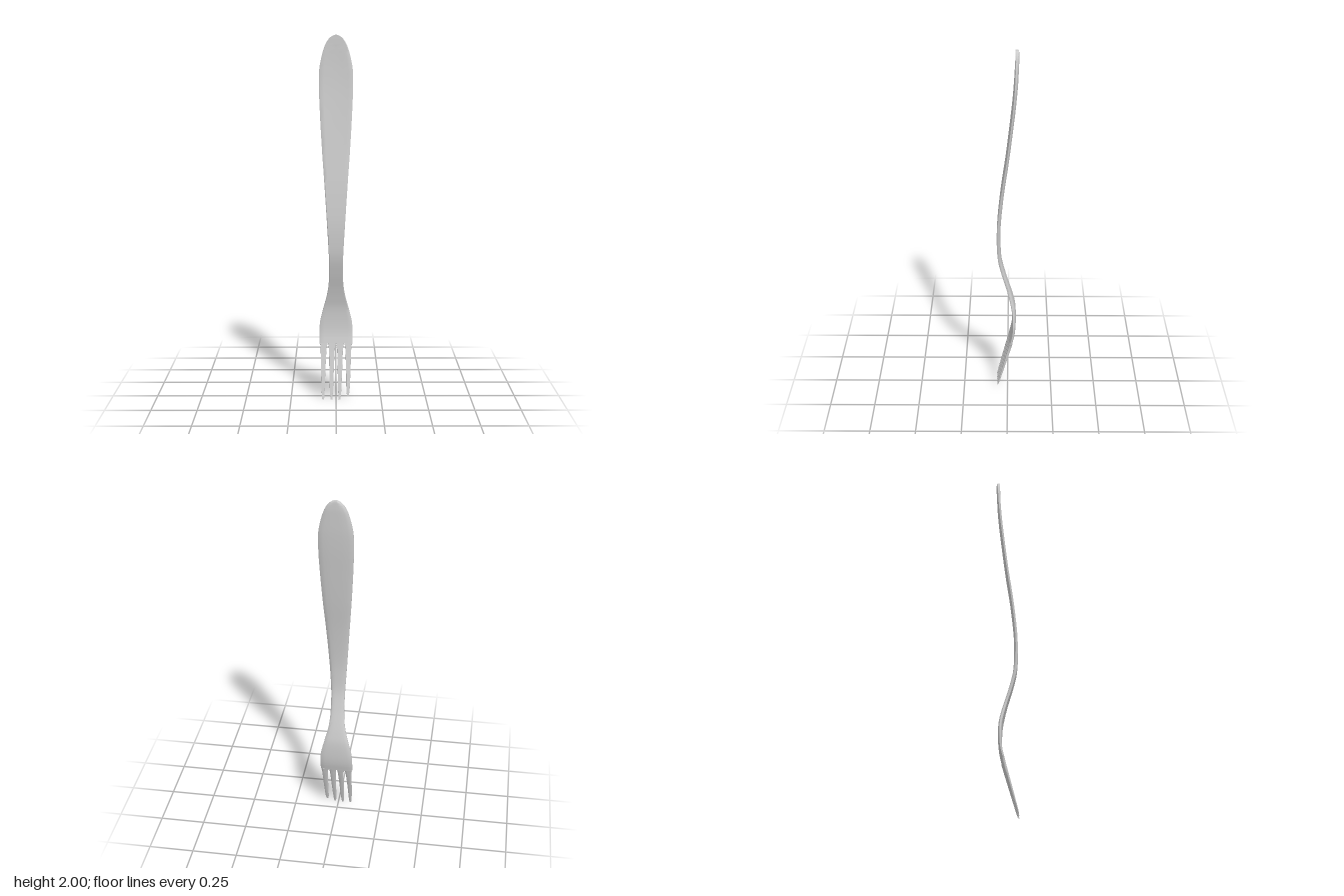
import * as THREE from 'three';
import { toCreasedNormals } from 'three/addons/utils/BufferGeometryUtils.js';

// Half section (x as share of half width, z as share of thickness), counterclockwise from above:
// flat front, bevelled back edges
const SECTION = [
  [-1, 0.3], [-0.93, 0.5], [-0.72, 0.5], [-0.4, 0.5], [0, 0.5], [0.4, 0.5], [0.72, 0.5], [0.93, 0.5], [1, 0.3],
  [1, -0.05], [0.9, -0.3], [0.7, -0.44], [0.35, -0.5], [0, -0.5], [-0.35, -0.5], [-0.7, -0.44], [-0.9, -0.3], [-1, -0.05],
];

// Skin over rows {x, y, z, w, t} ordered upwards, closed at both ends
function loft(rows, dish = () => 0) {
  const n = SECTION.length, pos = [], idx = [];
  for (const r of rows) {
    for (const [u, v] of SECTION) {
      const sunk = v === 0.5 ? dish(u, r.y) : 0;
      pos.push(r.x + u * r.w, r.y, r.z + v * r.t - sunk);
    }
  }
  for (let i = 0; i < rows.length - 1; i++) {
    for (let j = 0; j < n; j++) {
      const k = (j + 1) % n;
      const a = i * n + j, b = i * n + k, c = b + n, d = a + n;
      idx.push(a, b, c, a, c, d);
    }
  }
  const top = (rows.length - 1) * n;
  for (let j = 1; j < n - 1; j++) {
    idx.push(0, j + 1, j, top, top + j, top + j + 1);
  }
  const g = new THREE.BufferGeometry();
  g.setAttribute('position', new THREE.Float32BufferAttribute(pos, 3));
  g.setIndex(idx);
  return toCreasedNormals(g, 0.7);
}

// Smooth rows through [y, half width, z, thickness] stations
function rowsThrough(stations, count, x = () => 0) {
  const shape = new THREE.CatmullRomCurve3(stations.map(([y, w, z]) => new THREE.Vector3(w, y, z)));
  const rows = [];
  for (let i = 0; i <= count; i++) {
    const f = i / count, p = shape.getPoint(f);
    const s = f * (stations.length - 1), k = Math.min(Math.floor(s), stations.length - 2);
    const t = THREE.MathUtils.lerp(stations[k][3], stations[k + 1][3], s - k);
    rows.push({ x: x(p.y), y: p.y, z: p.z, w: p.x, t });
  }
  return rows;
}

export function createModel() {
  const group = new THREE.Group();
  const metal = new THREE.MeshStandardMaterial({ color: 0xcccccc });
  const add = (name, geometry) => {
    const mesh = new THREE.Mesh(geometry, metal);
    mesh.name = name;
    group.add(mesh);
  };

  // Handle, neck and head in one bent strip
  const body = [
    [0.3, 0.091, -0.021, 0.017], [0.35, 0.092, -0.032, 0.018], [0.41, 0.09, -0.037, 0.019],
    [0.5, 0.07, -0.034, 0.02], [0.56, 0.054, -0.022, 0.02], [0.62, 0.043, -0.006, 0.019],
    [0.7, 0.038, 0.018, 0.019], [0.8, 0.039, 0.042, 0.019], [0.9, 0.044, 0.049, 0.02],
    [1.0, 0.05, 0.048, 0.02], [1.2, 0.063, 0.029, 0.019], [1.4, 0.077, 0.001, 0.018],
    [1.6, 0.088, -0.023, 0.018], [1.72, 0.092, -0.036, 0.019], [1.82, 0.09, -0.044, 0.02],
    [1.9, 0.074, -0.048, 0.02], [1.95, 0.057, -0.05, 0.02], [1.98, 0.038, -0.05, 0.019],
    [1.995, 0.019, -0.05, 0.018], [2.0, 0.005, -0.05, 0.018],
  ];
  // Shallow oval hollow on the front of the handle
  const hollow = (u, y) => {
    const d = (u / 0.8) ** 2 + ((y - 1.68) / 0.27) ** 2;
    return d < 1 ? 0.003 * Math.sqrt(1 - d) : 0;
  };
  add('handleAndHead', loft(rowsThrough(body, 114), hollow));

  // Four tapering tines; their flared roots form the rounded slot ends
  [-1.5, -0.5, 0.5, 1.5].forEach((k, i) => {
    const tip = i === 3 ? 0.02 : 0;
    const tine = [
      [tip, 0.005, 0.061 - tip * 0.27, 0.004], [0.04, 0.0085, 0.05, 0.007], [0.12, 0.0115, 0.028, 0.011],
      [0.2, 0.014, 0.006, 0.014], [0.265, 0.0165, -0.012, 0.016], [0.285, 0.0185, -0.017, 0.0165],
      [0.295, 0.021, -0.0197, 0.017], [0.301, 0.0232, -0.0212, 0.017],
    ];
    const x = (y) => k * (0.0455 + 0.0035 * Math.sin(Math.PI * y / 0.3) * 0.3) - 0.003 * (1 - y / 0.301);
    add('tine' + (i + 1), loft(rowsThrough(tine, 28, x)));
  });

  return group;
}
